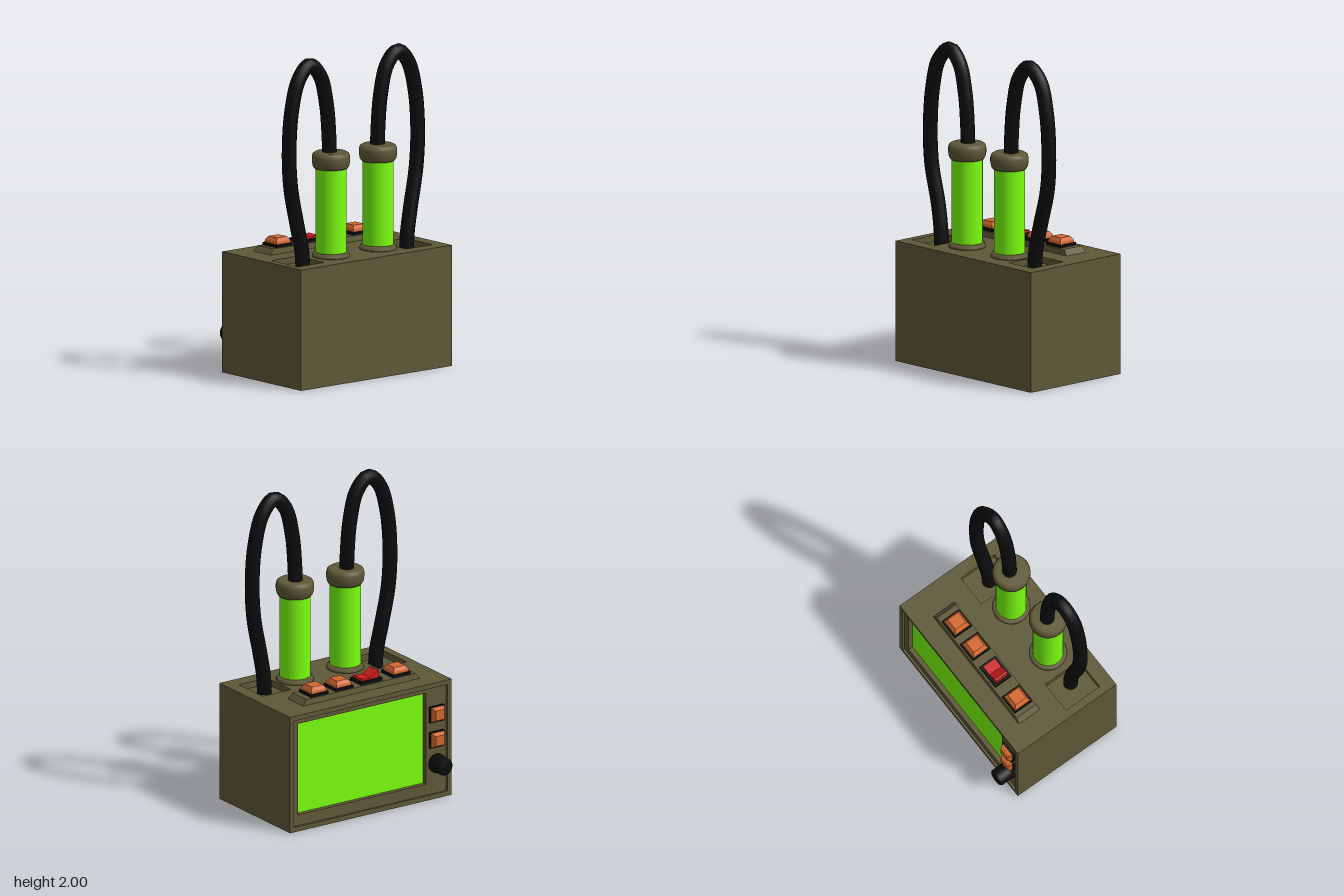
import * as THREE from 'three';

const mat = (color, side = THREE.FrontSide) => new THREE.MeshStandardMaterial({ color, side });

export function createModel() {
  const root = new THREE.Group();
  const olive = mat(0x5f5838), black = mat(0x0c0c0c), orange = mat(0xd4682f);
  const red = mat(0xd01c1e), green = mat(0x7bff10);

  const add = (name, geometry, material, x = 0, y = 0, z = 0, parent = root) => {
    const mesh = new THREE.Mesh(geometry, material);
    mesh.name = name;
    mesh.position.set(x, y, z);
    parent.add(mesh);
    return mesh;
  };

  // Box standing on y = 0 whose top is narrowed to tw x td
  const frustum = (w, h, d, tw = w, td = d) => {
    const g = new THREE.BoxGeometry(w, h, d).translate(0, h / 2, 0);
    const p = g.attributes.position;
    for (let i = 0; i < p.count; i++) {
      if (p.getY(i) > h / 2) p.setXYZ(i, p.getX(i) * tw / w, h, p.getZ(i) * td / d);
    }
    g.computeVertexNormals();
    return g;
  };

  // Flat plate with rectangular holes, each given as [x0, y0, x1, y1]
  const trace = (path, [x0, y0, x1, y1]) => {
    path.moveTo(x0, y0);
    path.lineTo(x1, y0);
    path.lineTo(x1, y1);
    path.lineTo(x0, y1);
    path.closePath();
    return path;
  };
  const plate = (outer, holes, depth) => {
    const shape = trace(new THREE.Shape(), outer);
    holes.forEach(h => shape.holes.push(trace(new THREE.Path(), h)));
    return new THREE.ExtrudeGeometry(shape, { depth, bevelEnabled: false });
  };

  // Case: core, lid with two hose wells, stepped screen surround
  add('caseCore', new THREE.BoxGeometry(1.2, 0.71, 0.7), olive, 0, 0.355, 0.07);
  const lid = plate([-0.6, -0.28, 0.6, 0.42],
    [[-0.55, 0.075, -0.34, 0.33], [0.31, 0.075, 0.52, 0.33]], 0.04);
  add('caseLid', lid.rotateX(Math.PI / 2), olive, 0, 0.75, 0);
  add('screenPanel', plate([-0.6, 0, 0.6, 0.75], [[-0.42, 0.1, 0.53, 0.69]], 0.035), olive, 0, 0, -0.315);
  add('caseRim', plate([-0.6, 0, 0.6, 0.75], [[-0.57, 0.03, 0.57, 0.72]], 0.015), olive, 0, 0, -0.33);
  add('screen', new THREE.BoxGeometry(0.95, 0.59, 0.006), green, 0.055, 0.395, -0.282);

  // Square push button: black base under a two-step cap
  const button = (name, x, y, z, s = 1) => {
    const g = new THREE.Group();
    g.name = name;
    add('base', frustum(0.13, 0.02, 0.13), black, 0, 0, 0, g);
    add('capSkirt', frustum(0.115, 0.018, 0.115, 0.108, 0.108), orange, 0, 0.02, 0, g);
    add('capTop', frustum(0.108, 0.022, 0.108, 0.08, 0.08), orange, 0, 0.038, 0, g);
    g.position.set(x, y, z);
    g.scale.set(s, s * 0.95, s);
    root.add(g);
    return g;
  };

  // Control strip on the lid
  add('controlStrip', frustum(0.87, 0.035, 0.16, 0.81, 0.148), olive, -0.015, 0.75, -0.13);
  [-0.325, 0.1, 0.285].forEach(x => button('topButton', x, 0.784, -0.13));

  // Rocker switch, raised on one end
  add('rockerBase', frustum(0.16, 0.02, 0.12), black, -0.105, 0.784, -0.13);
  const rocker = new THREE.Shape();
  [[-0.065, 0], [0.065, 0], [0.065, 0.016], [0, 0.01], [-0.055, 0.048], [-0.065, 0.045]]
    .forEach(([x, y], i) => (i ? rocker.lineTo(x, y) : rocker.moveTo(x, y)));
  add('rockerSwitch', new THREE.ExtrudeGeometry(rocker, { depth: 0.09, bevelEnabled: false }),
    red, -0.105, 0.803, -0.175);

  // Rear buttons and knob
  [0.545, 0.38].forEach(y => {
    button('rearButton', -0.495, y, -0.312, 0.8).rotation.x = -Math.PI / 2;
  });
  const knobProfile = [[0, 0], [0.06, 0], [0.06, 0.022], [0.055, 0.025], [0.055, 0.095], [0.045, 0.105], [0, 0.105]];
  const knob = add('knob', new THREE.LatheGeometry(knobProfile.map(p => new THREE.Vector2(...p)), 24),
    black, -0.495, 0.225, -0.315);
  knob.rotation.x = -Math.PI / 2;

  // Glowing tubes with collars, caps and hoses
  const collar = [[0, 0], [0.115, 0], [0.115, 0.008], [0.105, 0.03], [0, 0.03]];
  const cap = [[0, 0], [0.102, 0], [0.112, 0.015], [0.117, 0.045], [0.117, 0.07], [0.111, 0.09], [0.095, 0.1], [0, 0.1]];
  const lathe = pts => new THREE.LatheGeometry(pts.map(p => new THREE.Vector2(...p)), 32);
  for (const s of [-1, 1]) {
    const x = s * 0.187;
    add('tubeCollar', lathe(collar), olive, x, 0.75, 0.21);
    add('glowTube', new THREE.CylinderGeometry(0.095, 0.095, 0.54, 32, 1, true), green, x, 1.04, 0.21);
    add('tubeCap', lathe(cap), olive, x, 1.3, 0.21);

    const zOut = s > 0 ? 0.192 : 0.207;
    const path = new THREE.CatmullRomCurve3([
      [0.19, 1.36, 0.2], [0.195, 1.5, 0.2], [0.215, 1.7, 0.2], [0.265, 1.88, 0.2],
      [0.35, 1.957, 0.2], [0.44, 1.88, zOut], [0.495, 1.7, zOut], [0.517, 1.45, zOut],
      [0.505, 1.22, zOut], [0.452, 0.98, 0.203], [0.42, 0.82, 0.21], [0.412, 0.705, 0.212],
    ].map(([px, py, pz]) => new THREE.Vector3(s * px, py, pz)));
    add('hose', new THREE.TubeGeometry(path, 72, 0.045, 14), black);
  }
  return root;
}
